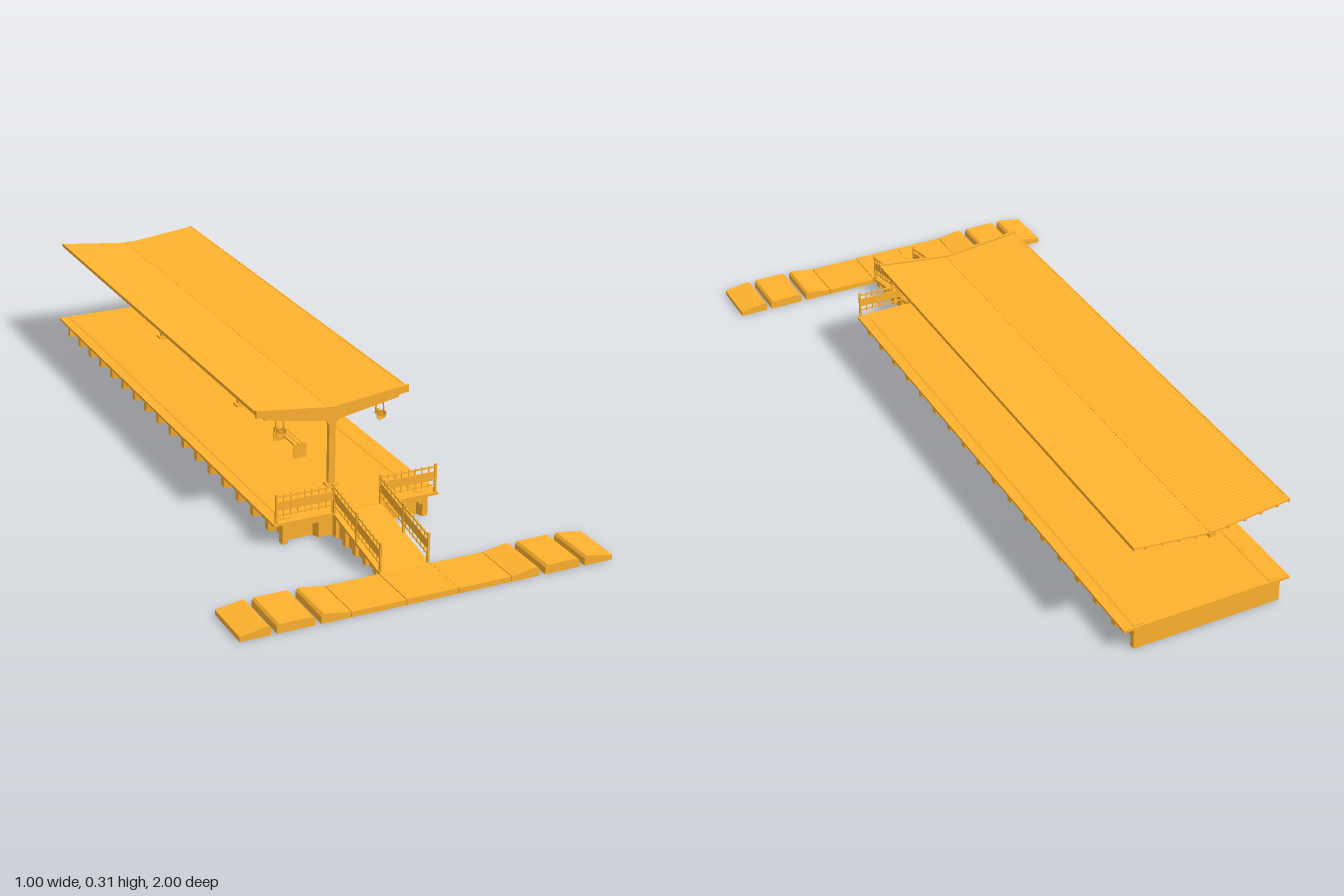
import * as THREE from 'three';

const mat = new THREE.MeshStandardMaterial({ color: 0xffb22e });
const SIDES = [-1, 1];

function add(parent, name, geo, x = 0, y = 0, z = 0) {
  const m = new THREE.Mesh(geo, mat);
  m.name = name;
  m.position.set(x, y, z);
  parent.add(m);
  return m;
}

// Box given by its min and max on each axis
function box(parent, name, x0, x1, y0, y1, z0, z1) {
  return add(parent, name, new THREE.BoxGeometry(Math.abs(x1 - x0), y1 - y0, Math.abs(z1 - z0)),
    (x0 + x1) / 2, (y0 + y1) / 2, (z0 + z1) / 2);
}

// Outline in (x, y) pushed along z
function extrudeZ(pts, z0, depth) {
  const shape = new THREE.Shape(pts.map(p => new THREE.Vector2(...p)));
  return new THREE.ExtrudeGeometry(shape, { depth, bevelEnabled: false }).translate(0, 0, z0);
}

// Outline in (z, y) pushed along x
function extrudeX(pts, x0, width) {
  return extrudeZ(pts, 0, width).rotateY(-Math.PI / 2).translate(x0 + width, 0, 0);
}

// Plan outline in (x, z) raised from the ground
function extrudeY(pts, height) {
  return extrudeZ(pts.map(([x, z]) => [x, -z]), 0, height).rotateX(-Math.PI / 2);
}

// Moves vertices up or down by a function of position
function shear(geo, f) {
  const p = geo.attributes.position;
  for (let i = 0; i < p.count; i++) p.setY(i, p.getY(i) + f(p.getX(i), p.getZ(i)));
  geo.computeVertexNormals();
  return geo;
}

const rampTop = z => 0.064 - (z - 0.6) / 0.26 * 0.049;

// Deck on thin walls, open underneath
function platform() {
  const g = new THREE.Group();
  g.name = 'platform';
  box(g, 'deck', -0.232, 0.232, 0.057, 0.064, -1, 0.603);
  box(g, 'backWall', -0.205, 0.205, 0, 0.058, -1, -0.985);
  for (const s of SIDES) {
    const mirror = pts => pts.map(([x, v]) => [s * x, v]);
    box(g, 'sideWall', s * 0.176, s * 0.185, 0, 0.058, -0.99, 0.575);
    box(g, 'frontWall', s * 0.056, s * 0.18, 0, 0.058, 0.566, 0.575);
    add(g, 'sideBand', extrudeZ(mirror([[0.18, 0.058], [0.205, 0.058], [0.205, 0.042], [0.185, 0.035], [0.18, 0.035]]), -0.99, 1.585));
    add(g, 'edgeStrip', extrudeZ(mirror([[0.173, 0.064], [0.178, 0.0665], [0.201, 0.0665], [0.206, 0.064]]), -0.995, 1.58));
    // Splayed buttresses between the side recesses
    for (let i = 0; i < 16; i++) {
      const z = 0.5 - i * 0.0933;
      add(g, 'buttress', extrudeY(mirror([[0.184, z - 0.016], [0.205, z - 0.01], [0.205, z + 0.01], [0.184, z + 0.016]]), 0.042));
    }
    // Front wall: corner pier, inner pier and sloped band frame a recess
    add(g, 'cornerPier', extrudeY(mirror([[0.184, 0.569], [0.205, 0.575], [0.205, 0.595], [0.19, 0.595], [0.183, 0.575]]), 0.042));
    add(g, 'frontPier', extrudeY(mirror([[0.066, 0.575], [0.112, 0.575], [0.105, 0.595], [0.066, 0.595]]), 0.058));
    add(g, 'frontBand', extrudeX([[0.57, 0.058], [0.595, 0.058], [0.595, 0.042], [0.575, 0.035], [0.57, 0.035]],
      s > 0 ? 0.1 : -0.2, 0.1));
  }
  return g;
}

function ramp() {
  const g = new THREE.Group();
  g.name = 'ramp';
  add(g, 'rampDeck', extrudeX([[0.6, 0.056], [0.86, 0.007], [0.86, 0.015], [0.6, 0.064]], -0.068, 0.136));
  for (const s of SIDES) {
    add(g, 'rampWall', extrudeX([[0.57, 0], [0.86, 0], [0.86, 0.008], [0.6, 0.057], [0.57, 0.057]],
      s > 0 ? 0.05 : -0.058, 0.008));
    for (const z of [0.6, 0.655, 0.71, 0.765, 0.82]) {
      const t = rampTop(z) - 0.006;
      add(g, 'rampButtress', extrudeX([[z, 0], [z + 0.018, 0], [z + 0.018, t - 0.004], [z, t]],
        s > 0 ? 0.056 : -0.068, 0.012));
    }
  }
  return g;
}

// Fence running along local +x, its foot following a slope
function fence(name, length, slope, posts) {
  const g = new THREE.Group();
  g.name = name;
  const bar = (part, y0, y1, t) =>
    add(g, part, shear(new THREE.BoxGeometry(length, y1 - y0, t).translate(length / 2, (y0 + y1) / 2, 0), x => slope * x));
  bar('topRail', 0.069, 0.073, 0.004);
  bar('board', 0.034, 0.058, 0.003);
  bar('lowerRail', 0.02, 0.023, 0.003);
  for (const x of posts) {
    const y = slope * x;
    box(g, 'fencePost', x - 0.003, x + 0.003, y - 0.004, y + 0.079, -0.003, 0.003);
  }
  const n = Math.round(length / 0.02);
  for (let i = 1; i < n; i++) {
    const x = i * length / n, y = slope * x;
    box(g, 'baluster', x - 0.001, x + 0.001, y + 0.016, y + 0.077, -0.001, 0.001);
  }
  return g;
}

// Level crossing: sloping slabs with gaps for the rails
function crossing() {
  const g = new THREE.Group();
  g.name = 'crossing';
  box(g, 'centreSlab', -0.0695, 0.0695, 0, 0.015, 0.858, 1);
  for (const s of SIDES) {
    const slab = (name, pts) => add(g, name, extrudeZ(pts.map(([x, y]) => [s * x, y]), 0.858, 0.142));
    slab('sideSlab', [[0.071, 0], [0.214, 0], [0.214, 0.014], [0.071, 0.014]]);
    slab('innerSlope', [[0.216, 0], [0.293, 0], [0.293, 0.018], [0.287, 0.024], [0.276, 0.024], [0.216, 0.014]]);
    slab('trackSlab', [[0.309, 0], [0.406, 0], [0.406, 0.018], [0.4, 0.024], [0.315, 0.024], [0.309, 0.018]]);
    slab('outerSlope', [[0.421, 0], [0.5, 0], [0.5, 0.013], [0.435, 0.024], [0.427, 0.024], [0.421, 0.018]]);
  }
  return g;
}

function roof() {
  const g = new THREE.Group();
  g.name = 'roof';
  const tilt = x => Math.abs(x) * 0.115;
  // Shallow corrugated sheet: trapezoid waves along z, flat beneath
  const waves = 120, pitch = 1.455 / waves, profile = [];
  for (let i = 0; i < waves; i++) {
    const z = -1 + i * pitch;
    profile.push([z, 0.279], [z + pitch * 0.35, 0.279], [z + pitch * 0.5, 0.281], [z + pitch * 0.85, 0.281]);
  }
  profile.push([0.455, 0.279], [0.455, 0.275], [-1, 0.275]);
  for (const s of SIDES) {
    add(g, 'roofSheet', shear(extrudeX(profile, s > 0 ? 0.007 : -0.211, 0.204), tilt));
    const beam = (name, x0, x1, y0, y1, z0, z1) => add(g, name, shear(
      new THREE.BoxGeometry(x1 - x0, y1 - y0, z1 - z0)
        .translate(s * (x0 + x1) / 2, (y0 + y1) / 2, (z0 + z1) / 2), tilt));
    beam('fascia', 0, 0.215, 0.266, 0.286, 0.453, 0.46);
    for (const x of [0.045, 0.09, 0.135, 0.18]) beam('purlin', x - 0.003, x + 0.003, 0.27, 0.276, -1, 0.453);
    beam('eaveTrim', 0.21, 0.214, 0.271, 0.281, -1, 0.453);
    for (const z of [0.27, 0.02, -0.27, -0.5, -0.85]) beam('stripLamp', 0.11, 0.115, 0.265, 0.276, z - 0.05, z + 0.05);
  }
  box(g, 'gutter', -0.009, 0.009, 0.264, 0.282, -1, 0.455);
  return g;
}

// Post with flared head and two tapering arms
function column(z) {
  const g = new THREE.Group();
  g.name = 'column';
  const s = new THREE.Shape();
  s.moveTo(-0.009, 0.064);
  s.lineTo(0.009, 0.064);
  s.lineTo(0.009, 0.23);
  s.quadraticCurveTo(0.01, 0.247, 0.03, 0.25);
  s.lineTo(0.19, 0.279);
  s.lineTo(0.19, 0.288);
  s.lineTo(0, 0.268);
  s.lineTo(-0.19, 0.288);
  s.lineTo(-0.19, 0.279);
  s.lineTo(-0.03, 0.25);
  s.quadraticCurveTo(-0.01, 0.247, -0.009, 0.23);
  add(g, 'postAndArms', new THREE.ExtrudeGeometry(s, { depth: 0.013, bevelEnabled: false, curveSegments: 6 })
    .translate(0, 0, -0.0065));
  box(g, 'postFoot', -0.016, 0.016, 0.064, 0.07, -0.013, 0.013);
  g.position.z = z;
  return g;
}

function speaker(x, z) {
  const g = new THREE.Group();
  g.name = 'loudspeaker';
  const profile = [[0, -0.014], [0.006, -0.014], [0.007, -0.004], [0.0145, 0.01], [0.0125, 0.01], [0.008, 0.004], [0, 0.008]];
  const horn = add(g, 'horn', new THREE.LatheGeometry(profile.map(p => new THREE.Vector2(...p)), 16).rotateX(Math.PI / 2));
  horn.rotation.x = 0.2;
  // Slanted hanger straps up to the arm
  for (const s of SIDES) add(g, 'hanger', extrudeZ(
    [[s * 0.012, 0], [s * 0.014, 0], [s * 0.009, 0.042], [s * 0.007, 0.042]], -0.002, 0.004));
  g.position.set(x, 0.237, z);
  return g;
}

// Bench with legs let into the deck
function bench() {
  const g = new THREE.Group();
  g.name = 'bench';
  for (const x of [-0.0125, 0, 0.0125]) box(g, 'seatSlat', x - 0.0055, x + 0.0055, 0.101, 0.105, 0.135, 0.265);
  for (const z of [0.135, 0.261]) {
    box(g, 'benchLeg', -0.018, 0.018, 0.064, 0.102, z, z + 0.004);
    box(g, 'legAnchor', -0.008, 0.008, 0.054, 0.066, z, z + 0.004);
  }
  return g;
}

export function createModel() {
  const model = new THREE.Group();
  model.name = 'stationPlatform';
  model.add(platform(), ramp(), crossing(), roof(), bench());
  for (const z of [0.448, -0.13, -0.71]) model.add(column(z));
  for (const s of SIDES) {
    // Fences across the platform end and down the ramp
    const end = fence('endFence', 0.156, 0, [0, 0.156]);
    end.position.set(s > 0 ? 0.067 : -0.223, 0.064, 0.598);
    const side = fence('rampFence', 0.252, -0.049 / 0.26, [0, 0.125, 0.252]);
    side.position.set(s * 0.065, 0.064, 0.602);
    side.rotation.y = -Math.PI / 2;
    model.add(end, side);
    for (const z of [0.44, -0.13]) model.add(speaker(s * 0.142, z));
  }
  return model;
}
